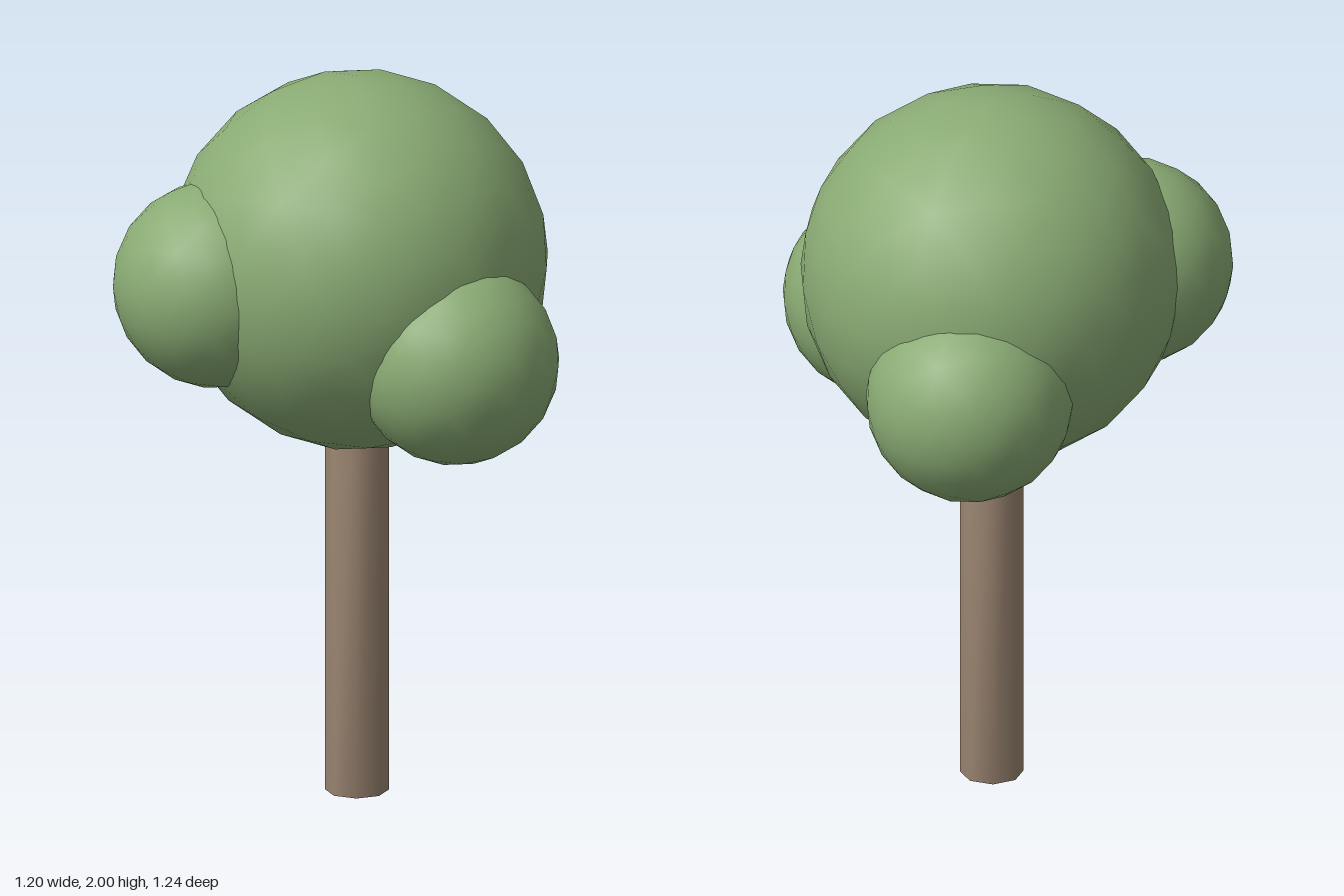
import * as THREE from 'three';
import { mergeVertices } from 'three/addons/utils/BufferGeometryUtils.js';

const leaves = new THREE.MeshStandardMaterial({ color: 0x8aab74 });
const bark = new THREE.MeshStandardMaterial({ color: 0x9c8672 });

// Smooth icosphere standing on one of its twelve corners
function foliage(name, radius, x, y, z) {
  const geometry = new THREE.IcosahedronGeometry(radius, 3);
  geometry.rotateZ(Math.atan(2 / (1 + Math.sqrt(5))));
  const mesh = new THREE.Mesh(geometry, leaves);
  mesh.name = name;
  mesh.position.set(x, y, z);
  return mesh;
}

// Eight-sided post with normals shared between sides and caps
function trunk(radius, height, x, z) {
  let geometry = new THREE.CylinderGeometry(radius, radius, height, 8);
  geometry.deleteAttribute('uv');
  geometry.deleteAttribute('normal');
  geometry = mergeVertices(geometry);
  geometry.computeVertexNormals();
  const mesh = new THREE.Mesh(geometry, bark);
  mesh.name = 'trunk';
  mesh.position.set(x, height / 2, z);
  return mesh;
}

export function createModel() {
  const tree = new THREE.Group();
  tree.name = 'tree';
  tree.add(
    trunk(0.086, 1.2, -0.08, -0.01),
    foliage('mainCrown', 0.516, -0.085, 1.487, -0.018),
    // Three smaller clumps around the crown
    foliage('frontClump', 0.282, -0.26, 1.455, 0.34),
    foliage('leftClump', 0.28, 0.315, 1.29, 0),
    foliage('backClump', 0.28, -0.302, 1.295, -0.34)
  );
  return tree;
}
